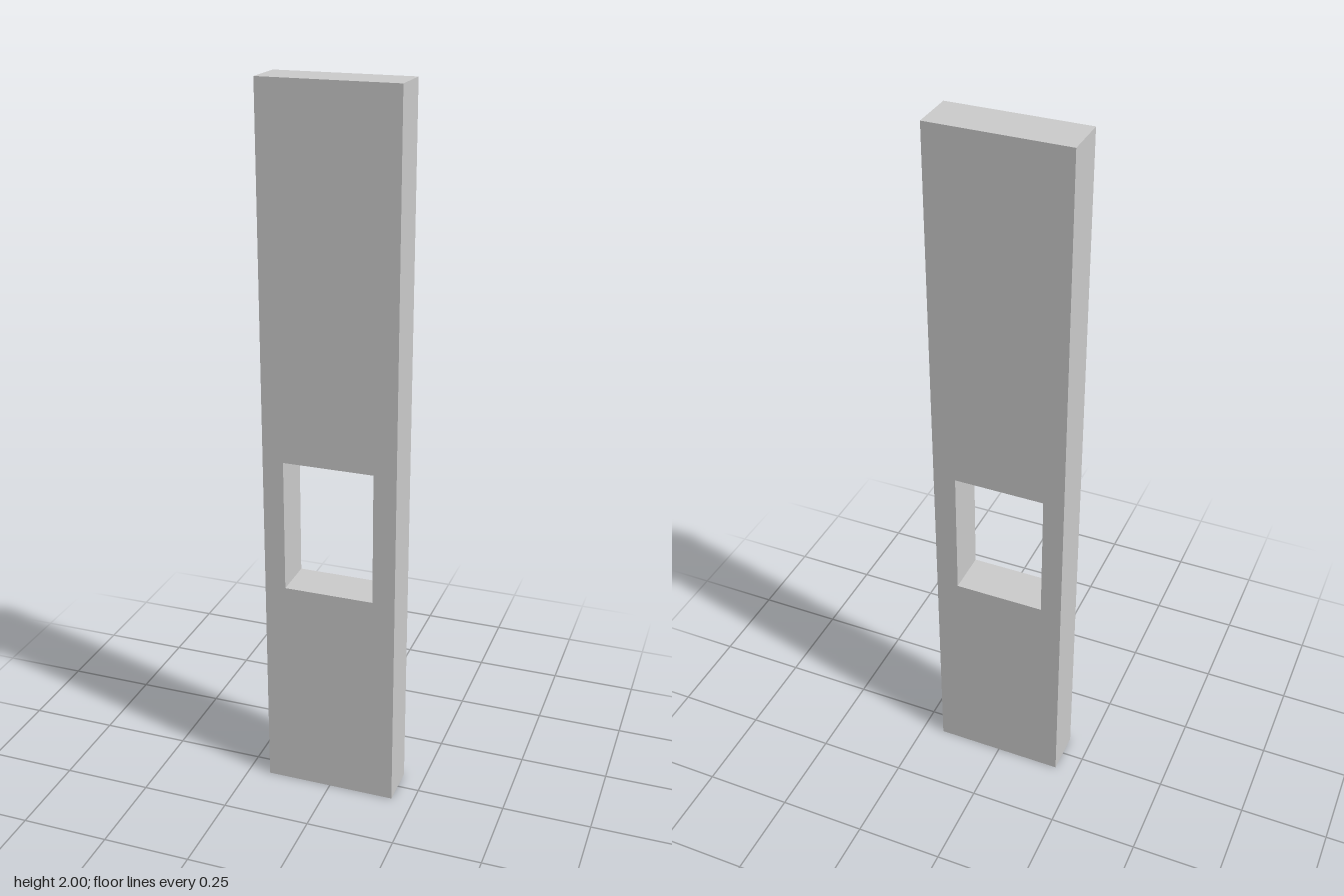
import * as THREE from 'three';

// Closed outline from a few corner points
const corners = (PathType, pts) => new PathType(pts.map(([x, y]) => new THREE.Vector2(x, y)));

export function createModel() {
  const group = new THREE.Group();
  group.name = 'slottedPlank';
  const thickness = 0.124;

  // Tall plank outline, leaning very slightly to one side
  const outline = corners(THREE.Shape, [[-0.187, 0], [0.188, 0], [0.185, 2], [-0.19, 2]]);

  // Rectangular window through the plank
  outline.holes.push(corners(THREE.Path, [[-0.129, 0.626], [-0.13, 1.002], [0.123, 1.002], [0.124, 0.626]]));

  const geometry = new THREE.ExtrudeGeometry(outline, { depth: thickness, bevelEnabled: false });
  geometry.translate(0, 0, -thickness / 2);

  const plank = new THREE.Mesh(geometry, new THREE.MeshStandardMaterial({ color: 0xcccccc }));
  plank.name = 'plank';
  group.add(plank);
  return group;
}
